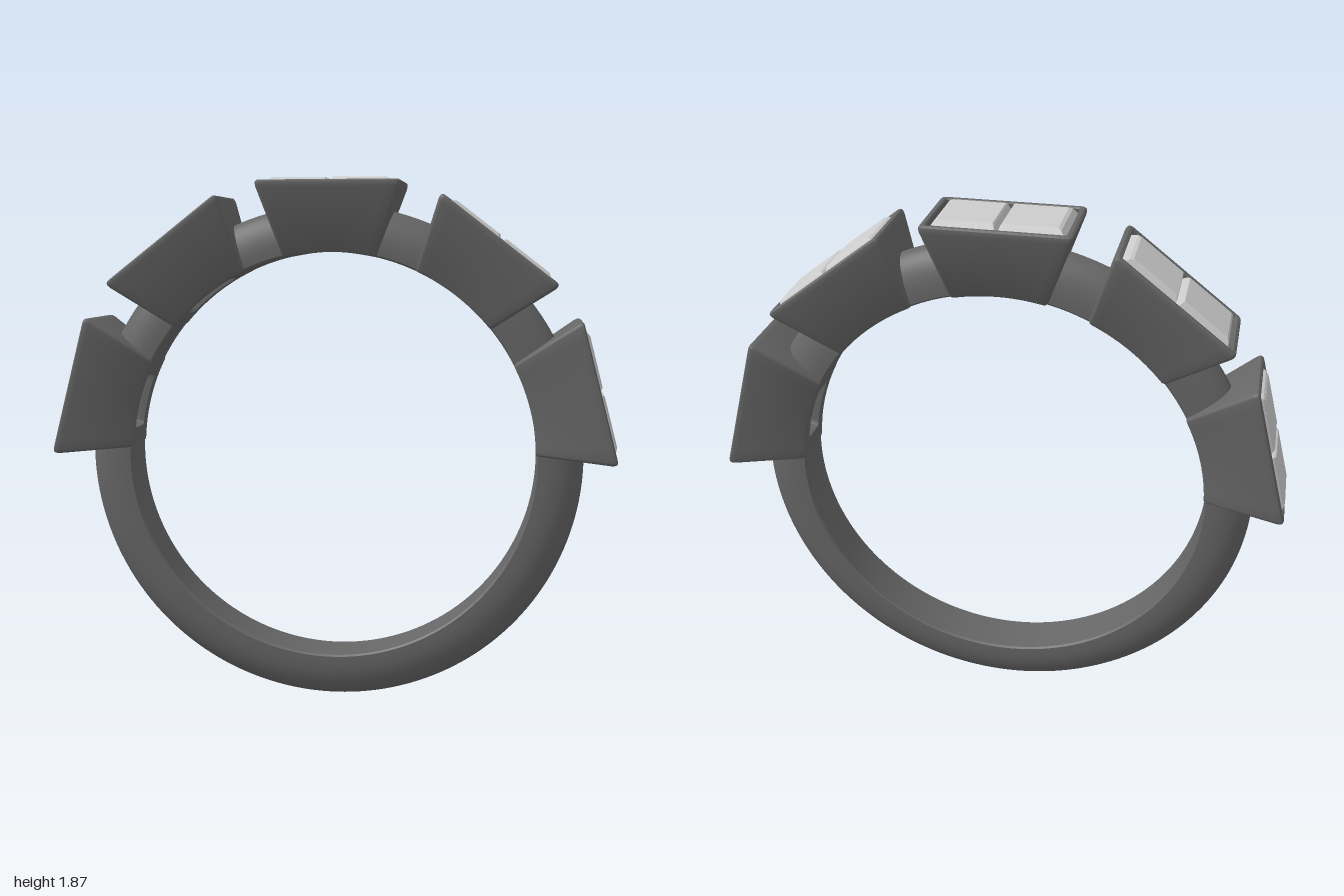
import * as THREE from 'three';
import { toCreasedNormals } from 'three/addons/utils/BufferGeometryUtils.js';

const CENTRE_Y = 0.89, INNER = 0.725, OUTER = 0.89;
const STEP = 37.5, HALF_GAP_START = 12.5; // degrees

// Rectangle outline with small rounded corners, subdivided along x
function outline(cx, hx, hz, r, xSegs) {
  const pts = [];
  const corners = [[1, -1], [-1, -1], [-1, 1], [1, 1]];
  corners.forEach(([sx, sz], k) => {
    for (let i = 0; i <= 3; i++) {
      const a = (k + i / 3) * Math.PI / 2;
      pts.push([cx + sx * (hx - r) + r * Math.cos(a), sz * (hz - r) - r * Math.sin(a)]);
    }
    if (k % 2 === 0) {
      for (let i = 1; i < xSegs; i++) {
        pts.push([cx + sx * (hx - r) * (1 - 2 * i / xSegs), sz * hz]);
      }
    }
  });
  return pts;
}

// Skin through rectangular sections [cx, halfX, halfZ, y, cornerRadius, bend]
// bend = 1 drops the section onto the inner circle of the band
function loft(sections, closed, xSegs, crease) {
  const pos = [], idx = [];
  let n = 0;
  for (const [cx, hx, hz, y, r, bend] of sections) {
    const ring = outline(cx, hx, hz, r, xSegs);
    n = ring.length;
    for (const [x, z] of ring) {
      const drop = bend * (Math.sqrt(INNER * INNER - x * x) - INNER);
      pos.push(x, y + drop, z);
    }
  }
  const m = sections.length;
  for (let i = 0; i < (closed ? m : m - 1); i++) {
    for (let j = 0; j < n; j++) {
      const k = (j + 1) % n, up = (i + 1) % m;
      const a = i * n + j, b = i * n + k, c = up * n + k, d = up * n + j;
      idx.push(a, b, c, a, c, d);
    }
  }
  const g = new THREE.BufferGeometry();
  g.setAttribute('position', new THREE.Float32BufferAttribute(pos, 3));
  g.setIndex(idx);
  return toCreasedNormals(g, crease);
}

// Arc of the band: flat inside, domed outside; angles clockwise from the top
function bandArc(from, to) {
  const w = 0.085, shoulder = 0.75;
  const profile = [new THREE.Vector2(INNER, -w + 0.006), new THREE.Vector2(INNER + 0.006, -w)];
  for (let i = 0; i <= 20; i++) {
    const a = -Math.PI / 2 + Math.PI * i / 20;
    profile.push(new THREE.Vector2(shoulder + (OUTER - shoulder) * Math.cos(a), w * Math.sin(a)));
  }
  profile.push(new THREE.Vector2(INNER + 0.006, w), new THREE.Vector2(INNER, w - 0.006), profile[0].clone());
  const segs = Math.ceil((to - from) / 2);
  const g = new THREE.LatheGeometry(profile, segs, THREE.MathUtils.degToRad(from), THREE.MathUtils.degToRad(to - from));
  g.rotateX(-Math.PI / 2);
  g.deleteAttribute('normal');
  g.deleteAttribute('uv');
  return toCreasedNormals(g, 0.6);
}

export function createModel() {
  const root = new THREE.Group();
  root.name = 'ring';
  const ring = new THREE.Group();
  ring.name = 'bandAndSettings';
  ring.position.y = CENTRE_Y;
  root.add(ring);

  const metal = new THREE.MeshStandardMaterial({ color: 0x666666, side: THREE.DoubleSide });
  const stone = new THREE.MeshStandardMaterial({ color: 0xcccccc });

  const add = (parent, name, geometry, material) => {
    const mesh = new THREE.Mesh(geometry, material);
    mesh.name = name;
    parent.add(mesh);
    return mesh;
  };

  // Lower shank and the short bridges between the settings
  const end = 2 * STEP + HALF_GAP_START;
  add(ring, 'shank', bandArc(end, 360 - end), metal);
  for (let k = -2; k < 2; k++) {
    add(ring, 'bridge', bandArc(k * STEP + HALF_GAP_START, (k + 1) * STEP - HALF_GAP_START), metal);
  }

  // Flared hollow box: up the outside, over the rim, down to the inner window
  const settingGeo = loft([
    [0, 0.1, 0.05, INNER, 0.015, 1],
    [0, 0.16, 0.094, INNER, 0.012, 1],
    [0, 0.166, 0.1, INNER + 0.008, 0.012, 1],
    [0, 0.248, 0.154, 0.945, 0.014, 0],
    [0, 0.25, 0.156, 0.956, 0.014, 0],
    [0, 0.249, 0.155, 0.964, 0.014, 0],
    [0, 0.243, 0.149, 0.969, 0.012, 0],
    [0, 0.232, 0.138, 0.969, 0.008, 0],
    [0, 0.228, 0.134, 0.964, 0.006, 0],
    [0, 0.228, 0.134, 0.93, 0.006, 0],
    [0, 0.1, 0.05, 0.77, 0.015, 0],
  ], true, 12, 0.55);

  // Step-cut stone filling one half of a setting
  const stoneGeo = loft([
    [0.11, 0.04, 0.001, 0.82, 0, 0],
    [0.113, 0.11, 0.126, 0.935, 0, 0],
    [0.113, 0.11, 0.126, 0.952, 0, 0],
    [0.109, 0.099, 0.111, 0.973, 0.004, 0],
    [0.106, 0.091, 0.1, 0.979, 0.004, 0],
    [0.106, 0, 0, 0.979, 0, 0],
  ], false, 1, 0.1);

  for (let k = -2; k <= 2; k++) {
    const setting = new THREE.Group();
    setting.name = 'setting';
    setting.rotation.z = -THREE.MathUtils.degToRad(k * STEP);
    ring.add(setting);
    add(setting, 'settingBody', settingGeo, metal);
    for (const turn of [0, Math.PI]) {
      add(setting, 'stone', stoneGeo, stone).rotation.y = turn;
    }
  }
  return root;
}
